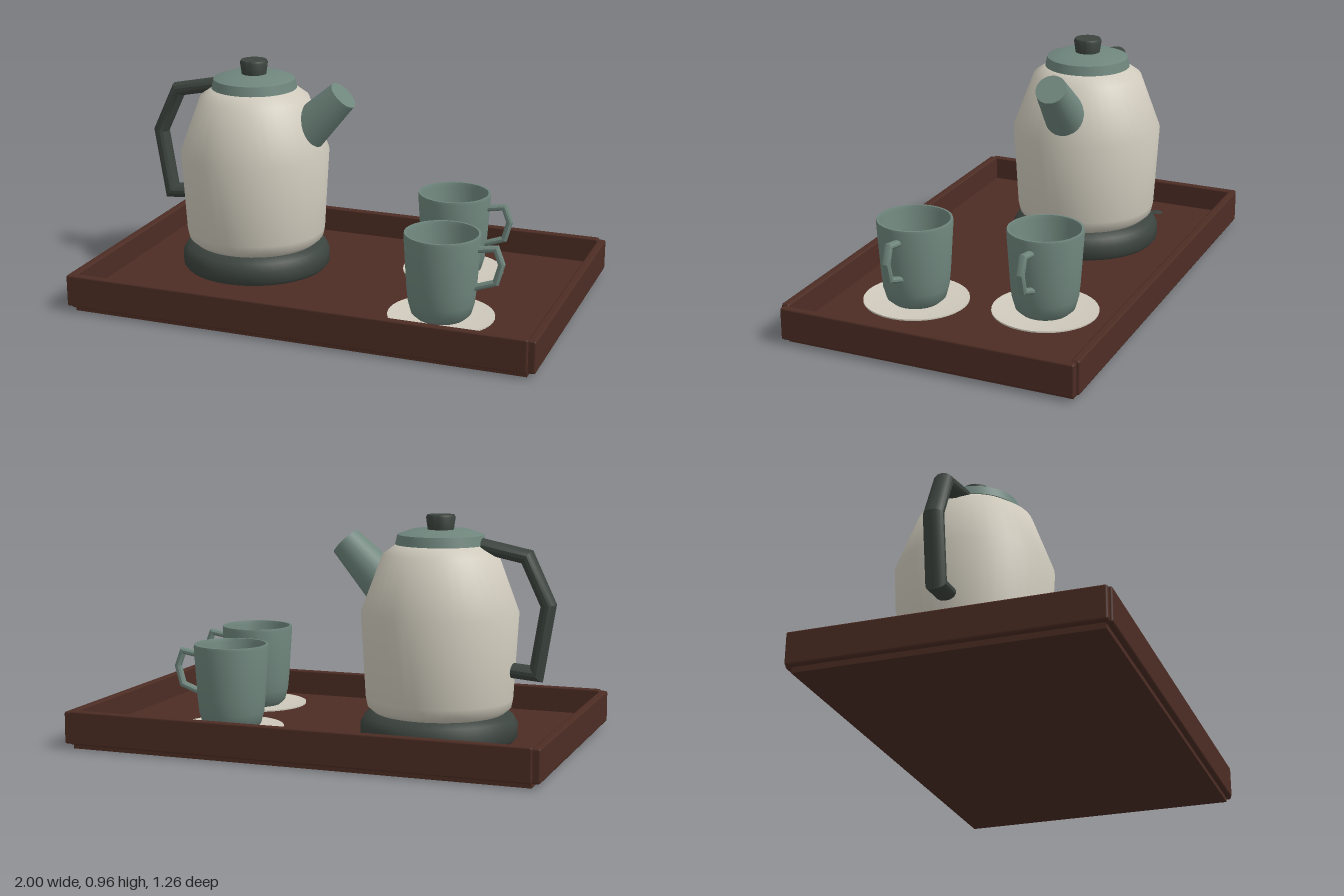
import * as THREE from 'three';
import { RoundedBoxGeometry } from 'three/addons/geometries/RoundedBoxGeometry.js';
import { toCreasedNormals } from 'three/addons/utils/BufferGeometryUtils.js';

const material = (name, color) => {
  const m = new THREE.MeshStandardMaterial({ color });
  m.name = name;
  return m;
};

const add = (parent, name, geometry, mat, x = 0, y = 0, z = 0) => {
  const mesh = new THREE.Mesh(geometry, mat);
  mesh.name = name;
  mesh.position.set(x, y, z);
  parent.add(mesh);
  return mesh;
};

// Turned part from [radius, height] pairs, bottom to top
const lathe = (profile, crease = 0.7) => toCreasedNormals(
  new THREE.LatheGeometry(profile.map(([r, y]) => new THREE.Vector2(r, y)), 40), crease);

// Round bar along a path in the xy plane with mitred corners and closed ends
function bar(path, rIn, rZ, sides = 14) {
  const pts = path.map(([x, y]) => new THREE.Vector2(x, y));
  const pos = [], index = [];
  pts.forEach((p, i) => {
    const a = p.clone().sub(pts[Math.max(i - 1, 0)]).normalize();
    const b = pts[Math.min(i + 1, pts.length - 1)].clone().sub(p).normalize();
    const t = a.clone().add(b).normalize();
    const miter = 1 / Math.max(t.dot(i ? a : b), 0.5);
    for (let s = 0; s < sides; s++) {
      const u = s / sides * Math.PI * 2, k = Math.cos(u) * rIn * miter;
      pos.push(p.x - t.y * k, p.y + t.x * k, Math.sin(u) * rZ);
      if (i < pts.length - 1) {
        const c = i * sides + s, d = i * sides + (s + 1) % sides;
        index.push(c, d, c + sides, d, d + sides, c + sides);
      }
    }
  });
  const last = (pts.length - 1) * sides;
  for (let s = 1; s < sides - 1; s++) {
    index.push(0, s + 1, s, last, last + s, last + s + 1);
  }
  const g = new THREE.BufferGeometry();
  g.setAttribute('position', new THREE.Float32BufferAttribute(pos, 3));
  g.setIndex(index);
  return toCreasedNormals(g, 0.5);
}

export function createModel() {
  const model = new THREE.Group();
  model.name = 'teaTray';
  const wood = material('dark brown wood', 0x4d2d24);
  const cream = material('cream', 0xcfcabc);
  const green = material('grey green', 0x6f867d);
  const dark = material('dark green', 0x3c443f);

  // Tray: floor and four chamfered boards
  const tray = new THREE.Group();
  tray.name = 'tray';
  model.add(tray);
  add(tray, 'trayFloor', new THREE.BoxGeometry(1.93, 0.05, 1.21), wood, 0, 0.025, 0);
  for (const s of [-1, 1]) {
    add(tray, 'longBoard', new RoundedBoxGeometry(1.94, 0.14, 0.035, 1, 0.008), wood, 0, 0.09, s * 0.6125);
    add(tray, 'shortBoard', new RoundedBoxGeometry(0.035, 0.135, 1.24, 1, 0.008), wood, s * 0.9825, 0.0875, 0);
  }

  // Kettle
  const kettle = new THREE.Group();
  kettle.name = 'kettle';
  kettle.position.set(-0.445, 0, -0.085);
  model.add(kettle);
  add(kettle, 'kettleBase', lathe([[0, 0.05], [0.31, 0.05], [0.322, 0.065], [0.322, 0.115],
    [0.305, 0.145], [0.26, 0.165], [0, 0.165]]), dark);
  add(kettle, 'kettleBody', lathe([[0, 0.163], [0.27, 0.163], [0.295, 0.185], [0.302, 0.22],
    [0.322, 0.57], [0.235, 0.805], [0.175, 0.848], [0, 0.85]], 0.9), cream);
  add(kettle, 'lid', lathe([[0, 0.845], [0.184, 0.845], [0.175, 0.885], [0.118, 0.905], [0, 0.905]], 0.9), green);
  add(kettle, 'knob', lathe([[0, 0.9], [0.052, 0.9], [0.06, 0.955], [0.055, 0.965], [0, 0.965]]), dark);
  add(kettle, 'kettleHandle', bar([[-0.17, 0.845], [-0.36, 0.806], [-0.45, 0.615],
    [-0.405, 0.338], [-0.28, 0.348]], 0.031, 0.042), dark);
  const spout = add(kettle, 'spout', new THREE.CylinderGeometry(0.067, 0.096, 0.27, 28),
    green, 0.313, 0.748, 0);
  spout.rotation.z = -Math.PI / 4;

  // Small spoon lying on the tray
  const spoon = new THREE.Group();
  spoon.name = 'spoon';
  spoon.position.set(-0.83, 0.052, -0.29);
  model.add(spoon);
  add(spoon, 'spoonBowl', new THREE.SphereGeometry(0.024, 16, 8).scale(1, 0.15, 1.2), dark);
  add(spoon, 'spoonHandle', new THREE.BoxGeometry(0.007, 0.004, 0.09), dark, 0, 0, 0.065);

  // Cups on saucers
  for (const [x, z] of [[0.41, -0.255], [0.52, 0.27]]) {
    const set = new THREE.Group();
    set.name = 'cupAndSaucer';
    set.position.set(x, 0, z);
    model.add(set);
    add(set, 'saucer', lathe([[0, 0.05], [0.14, 0.05], [0.218, 0.062], [0.218, 0.068],
      [0.14, 0.06], [0, 0.06]]), cream);
    add(set, 'cup', lathe([[0, 0.06], [0.1, 0.06], [0.122, 0.08], [0.136, 0.13], [0.142, 0.19],
      [0.156, 0.405], [0.154, 0.416], [0.145, 0.416], [0.141, 0.4], [0.128, 0.17],
      [0.105, 0.1], [0, 0.085]], 0.9), green);
    add(set, 'cupHandle', bar([[0.14, 0.36], [0.222, 0.374], [0.246, 0.31],
      [0.224, 0.232], [0.135, 0.2]], 0.014, 0.018, 10), green);
  }
  return model;
}
